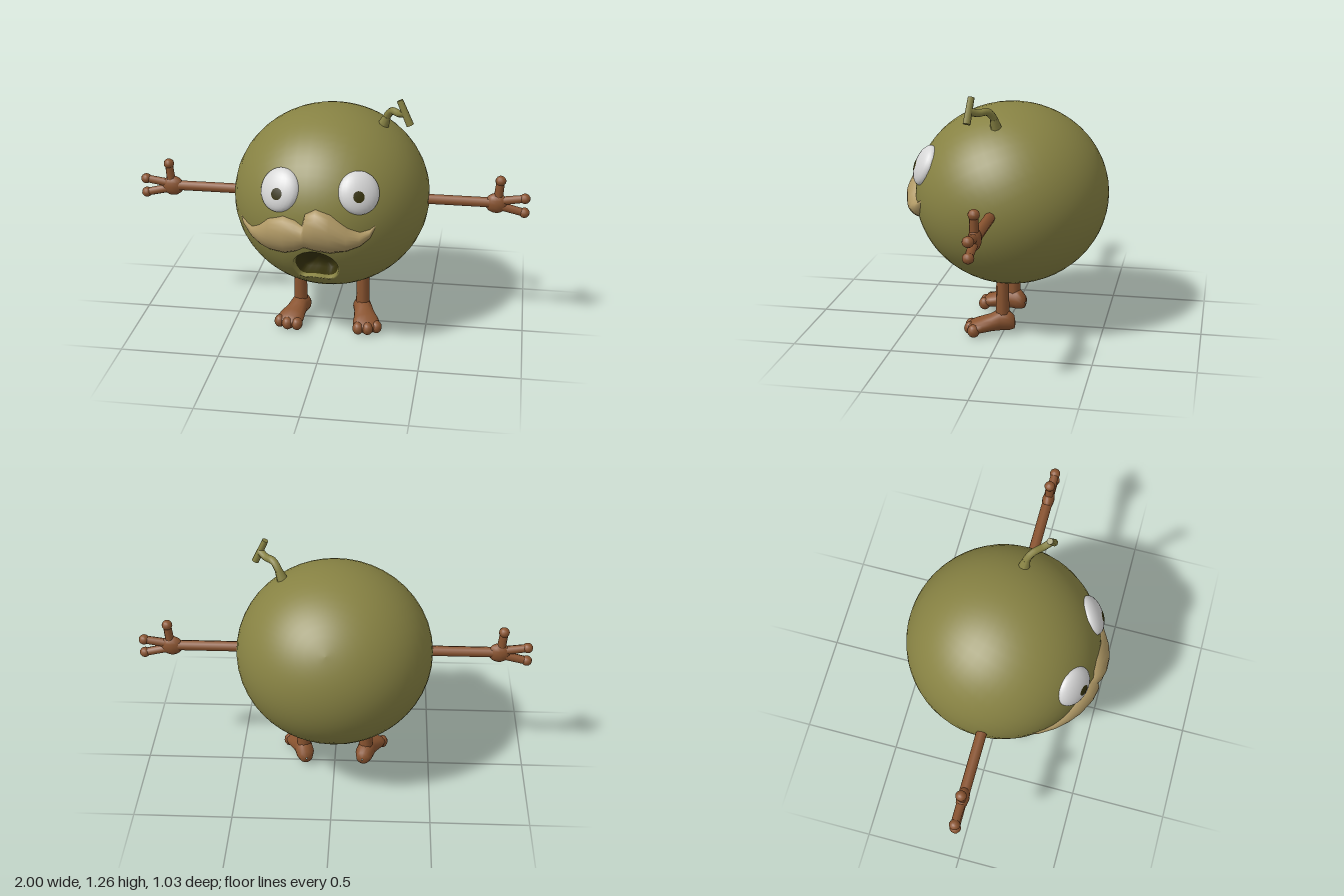
import * as THREE from 'three';

const V = (x, y, z) => new THREE.Vector3(x, y, z);
const mat = (name, color) => {
  const m = new THREE.MeshStandardMaterial({ color });
  m.name = name;
  return m;
};

// Body ellipsoid: centre and radii
const C = V(0, 0.706, -0.02), R = V(0.497, 0.463, 0.491);
const bodyZ = (x, y) =>
  C.z + R.z * Math.sqrt(Math.max(0, 1 - ((x - C.x) / R.x) ** 2 - ((y - C.y) / R.y) ** 2));

// Skin a list of closed rings with smooth normals
function loft(rings) {
  const n = rings[0].length, index = [];
  for (let i = 0; i < rings.length - 1; i++)
    for (let j = 0; j < n; j++) {
      const a = i * n + j, b = i * n + (j + 1) % n;
      index.push(a, a + n, b, b, a + n, b + n);
    }
  const g = new THREE.BufferGeometry().setFromPoints(rings.flat());
  g.setIndex(index);
  g.computeVertexNormals();
  return g;
}

export function createModel() {
  const model = new THREE.Group();
  model.name = 'roundCreature';
  const green = mat('olive green', 0x878243), dark = mat('dark olive', 0x35310c);
  const brown = mat('brown', 0x8a5430), tan = mat('tan', 0xae9764);
  const white = mat('eye white', 0xd6d6d6);

  const add = (parent, name, geo, m) => {
    const mesh = new THREE.Mesh(geo, m);
    mesh.name = name;
    parent.add(mesh);
    return mesh;
  };
  const group = (name) => {
    const g = new THREE.Group();
    g.name = name;
    model.add(g);
    return g;
  };
  // Tapered rod between two points
  const rod = (parent, name, a, b, ra, rb, m, sides = 8) => {
    const d = b.clone().sub(a);
    const mesh = add(parent, name, new THREE.CylinderGeometry(rb, ra, d.length(), sides), m);
    mesh.position.copy(a).addScaledVector(d, 0.5);
    mesh.quaternion.setFromUnitVectors(V(0, 1, 0), d.normalize());
  };
  const ball = (parent, name, p, sx, sy, sz, m) => {
    const mesh = add(parent, name, new THREE.SphereGeometry(1, 12, 8), m);
    mesh.position.copy(p);
    mesh.scale.set(sx, sy, sz);
  };

  // Mouth outline, counter-clockwise from the front
  const outline = new THREE.CatmullRomCurve3([
    [0.05, 0.385], [0.083, 0.415], [0.098, 0.49], [0.064, 0.55], [-0.016, 0.583],
    [-0.096, 0.56], [-0.14, 0.5], [-0.137, 0.43], [-0.107, 0.383], [-0.03, 0.392],
  ].map(([x, y]) => V(x, y, 0)), true).getSpacedPoints(48).slice(0, 48);
  const mouth = V(-0.025, 0.475, 0);
  const mouthRing = (k, depth) => outline.map((p) => {
    const q = mouth.clone().lerp(p, k);
    return V(q.x, q.y, bodyZ(q.x, q.y) - depth);
  });

  // Body: lip, then rings sweeping from the mouth round to the back
  const toUnit = (p) => p.clone().sub(C).divide(R).normalize();
  const back = toUnit(V(mouth.x, mouth.y, bodyZ(mouth.x, mouth.y))).negate();
  const rings = [mouthRing(0.88, 0.04), mouthRing(0.93, 0.008)];
  const starts = mouthRing(1, 0).map(toUnit);
  for (let i = 0; i <= 28; i++) {
    const t = 0.9995 * i / 28;
    rings.push(starts.map((s) => {
      const w = s.angleTo(back);
      return s.clone().multiplyScalar(Math.sin((1 - t) * w))
        .addScaledVector(back, Math.sin(t * w))
        .divideScalar(Math.sin(w)).multiply(R).add(C);
    }));
  }
  add(model, 'body', loft(rings), green);
  add(model, 'mouthCavity', loft([
    mouthRing(0.01, 0.15), mouthRing(0.5, 0.145), mouthRing(0.78, 0.12), mouthRing(0.88, 0.04),
  ]), dark);

  // Moustache: [x, top, bottom, thickness], hugging the face
  const stations = [
    [-0.423, 0.668, 0.66, 0.004], [-0.405, 0.658, 0.622, 0.025], [-0.35, 0.642, 0.58, 0.04],
    [-0.3, 0.675, 0.555, 0.05], [-0.25, 0.725, 0.545, 0.058], [-0.17, 0.757, 0.55, 0.062],
    [-0.11, 0.745, 0.575, 0.058], [-0.075, 0.722, 0.597, 0.042], [-0.06, 0.782, 0.6, 0.052],
    [-0.01, 0.808, 0.588, 0.06], [0.06, 0.785, 0.578, 0.062], [0.14, 0.718, 0.59, 0.058],
    [0.2, 0.69, 0.612, 0.048], [0.245, 0.698, 0.648, 0.035], [0.275, 0.722, 0.71, 0.004],
  ];
  add(model, 'moustache', loft(stations.map(([x, top, bottom, d]) =>
    Array.from({ length: 20 }, (_, j) => {
      const a = j / 20 * Math.PI * 2;
      const y = (top + bottom) / 2 + (top - bottom) / 2 * Math.sin(a);
      return V(x, y, bodyZ(x, y) - 0.01 + d * Math.cos(a));
    }))), tan);

  // Eyes: flattened domes with thin pupil caps
  for (const [side, x, y, rx, ry] of [[-1, -0.198, 0.872, 0.105, 0.108], [1, 0.192, 0.878, 0.102, 0.105]]) {
    const eye = group(side > 0 ? 'leftEye' : 'rightEye');
    const p = V(x, y, bodyZ(x, y));
    const n = p.clone().sub(C).divide(R).divide(R).normalize();
    eye.position.copy(p).addScaledVector(n, -0.012);
    eye.lookAt(eye.position.clone().add(n));
    add(eye, 'eyeball', new THREE.SphereGeometry(1, 24, 16), white).scale.set(rx, ry, 0.05);
    const cap = new THREE.SphereGeometry(1.03, 16, 5, 0, Math.PI * 2, 0, 0.27);
    cap.rotateX(Math.PI / 2 + 0.2);
    cap.rotateY(-side * 0.16);
    add(eye, 'pupil', cap, dark).scale.set(rx, ry, 0.05);
  }

  // Curved stem with a crossbar at its tip
  const stem = group('stem');
  const path = new THREE.CatmullRomCurve3([
    V(0.255, 1.07, 0.01), V(0.277, 1.14, 0.02), V(0.305, 1.178, 0.045),
    V(0.345, 1.178, 0.085), V(0.375, 1.192, 0.118),
  ]);
  add(stem, 'stalk', new THREE.TubeGeometry(path, 16, 0.019, 8), green);
  rod(stem, 'stemBase', V(0.25, 1.07, 0.01), V(0.277, 1.14, 0.02), 0.033, 0.02, green);
  rod(stem, 'stemTip', V(0.348, 1.255, 0.115), V(0.402, 1.135, 0.127), 0.016, 0.019, green);

  for (const s of [-1, 1]) {
    const label = s > 0 ? 'left' : 'right';

    // Arm with palm, thumb and two fingers
    const arm = group(label + 'Arm');
    rod(arm, 'forearm', V(s * 0.46, 0.708, 0), V(s * 0.8, 0.708, 0), 0.027, 0.027, brown);
    ball(arm, 'palm', V(s * 0.832, 0.706, 0), 0.058, 0.052, 0.032, brown);
    for (const [name, ax, ay, bx, by] of [
      ['thumb', 0.84, 0.73, 0.849, 0.825],
      ['upperFinger', 0.85, 0.718, 0.973, 0.737],
      ['lowerFinger', 0.85, 0.692, 0.973, 0.662],
    ]) {
      const tip = V(s * bx, by, 0);
      rod(arm, name, V(s * ax, ay, 0), tip, 0.023, 0.021, brown);
      ball(arm, name + 'Tip', tip, 0.027, 0.026, 0.028, brown);
    }

    // Leg
    rod(model, label + 'Leg', V(s * 0.165, 0.06, 0), V(s * 0.165, 0.285, 0), 0.037, 0.032, brown);

    // Foot: [z, half width, top, bottom], turned outwards
    const foot = group(label + 'Foot');
    foot.position.x = s * 0.165;
    foot.rotation.y = s * 0.27;
    const sections = [
      [-0.066, 0.004, 0.06, 0.05], [-0.06, 0.034, 0.095, 0.025], [-0.03, 0.047, 0.125, 0.017],
      [0.02, 0.048, 0.126, 0.018], [0.06, 0.054, 0.105, 0.016], [0.11, 0.068, 0.09, 0.01],
      [0.15, 0.07, 0.076, 0.006], [0.175, 0.05, 0.055, 0.012], [0.18, 0.004, 0.04, 0.03],
    ];
    add(foot, 'sole', loft(sections.map(([z, w, top, bottom]) =>
      Array.from({ length: 16 }, (_, j) => {
        const a = j / 16 * Math.PI * 2;
        return V(w * Math.sin(a), (top + bottom) / 2 + (top - bottom) / 2 * Math.cos(a), z);
      }))), brown);
    for (const [x, z] of [[-0.048, 0.155], [0, 0.165], [0.048, 0.152]])
      ball(foot, 'toe', V(x, 0.034, z), 0.029, 0.034, 0.032, brown);
  }
  return model;
}
